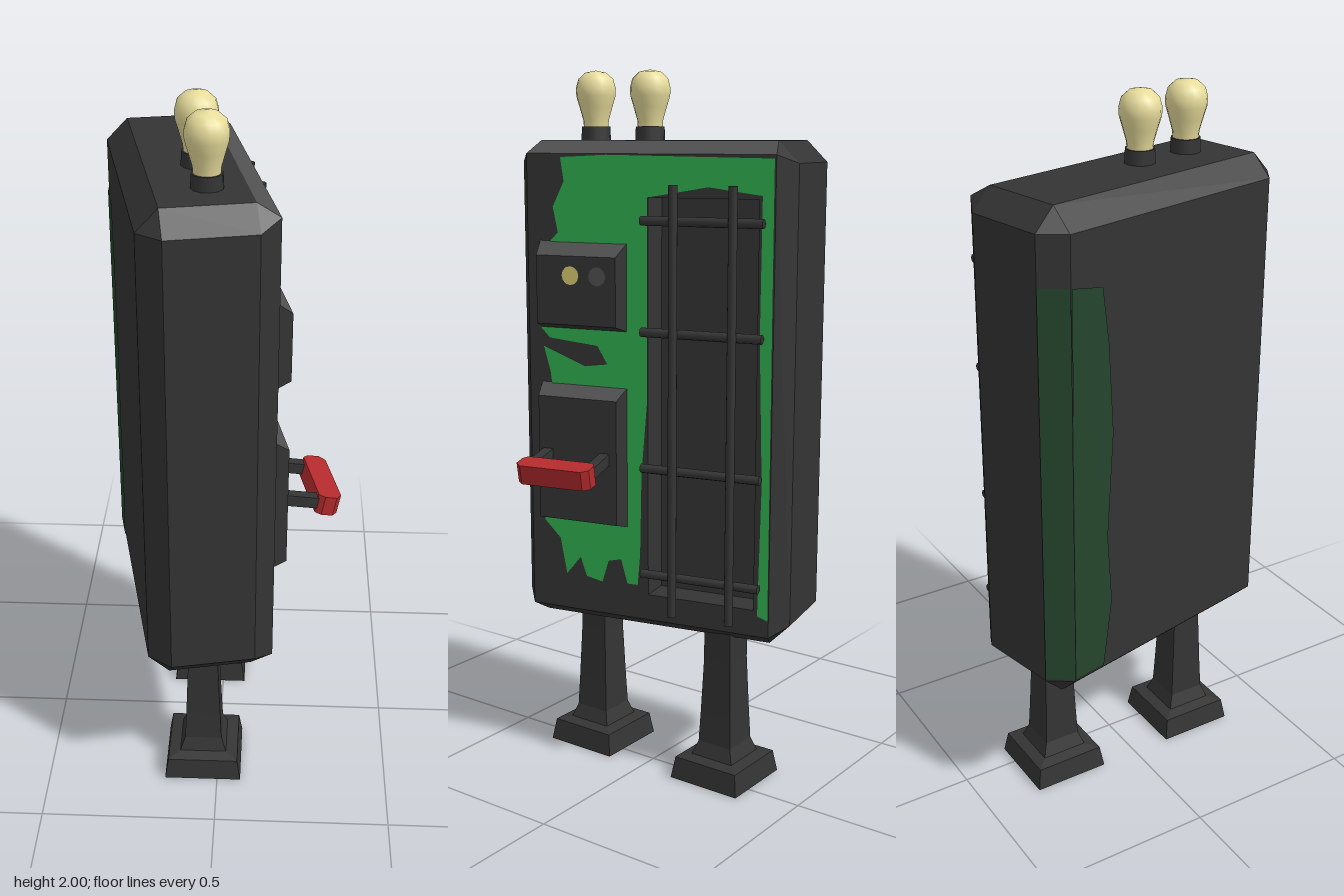
import * as THREE from 'three';
import { ConvexGeometry } from 'three/addons/geometries/ConvexGeometry.js';

const paint = (name, color) => {
  const m = new THREE.MeshStandardMaterial({ color });
  m.name = name;
  return m;
};

export function createModel() {
  const dark = paint('dark metal', 0x343434);
  const worn = paint('worn edge', 0x505050);
  const green = paint('green paint', 0x2fb04f);
  const oldGreen = paint('faded green', 0x24442c);
  const red = paint('red handle', 0xb52a2d);
  const glass = paint('bulb glass', 0xe8dd9c);
  const lamp = paint('yellow lamp', 0xd8cc70);

  const model = new THREE.Group();
  const cabinet = new THREE.Group();
  cabinet.name = 'cabinet';
  cabinet.rotation.y = 0.205;
  model.add(cabinet);

  const add = (parent, name, geo, mat, x = 0, y = 0, z = 0) => {
    const mesh = new THREE.Mesh(geo, mat);
    mesh.name = name;
    mesh.position.set(x, y, z);
    parent.add(mesh);
    return mesh;
  };

  // Convex solid split by a rule: rule(normal, centre) gives 0 dark, 1 worn, -1 left open
  const hull = (points, rule) => {
    const src = new ConvexGeometry(points).attributes.position;
    const tri = new THREE.Triangle(), n = new THREE.Vector3(), c = new THREE.Vector3();
    const lists = [[], []];
    for (let i = 0; i < src.count; i += 3) {
      tri.setFromAttributeAndIndices(src, i, i + 1, i + 2);
      tri.getNormal(n);
      tri.getMidpoint(c);
      const k = rule(n, c);
      if (k >= 0) [tri.a, tri.b, tri.c].forEach(p => lists[k].push(p.x, p.y, p.z));
    }
    const geo = new THREE.BufferGeometry();
    geo.setAttribute('position', new THREE.Float32BufferAttribute([...lists[0], ...lists[1]], 3));
    geo.computeVertexNormals();
    geo.addGroup(0, lists[0].length / 3, 0);
    geo.addGroup(lists[0].length / 3, lists[1].length / 3, 1);
    return geo;
  };

  // Flat plate on the panel side, from [z, y] points
  const panelShape = pts => new THREE.Shape(pts.map(([z, y]) => new THREE.Vector2(-z, y)));
  const plate = shape => new THREE.ShapeGeometry(shape).rotateY(Math.PI / 2);
  const rect = (z0, z1, y0, y1) => [[z0, y0], [z1, y0], [z1, y1], [z0, y1]];

  // Chamfered cabinet shell, open where the panel sits
  const X = [-0.262, 0.0875], Y = [0.435, 1.81], Z = [-0.429, 0.389];
  const b = 0.058, fy = 0.035, fz = 0.042;
  const pts = [];
  for (const i of [0, 1]) for (const j of [0, 1]) for (const k of [0, 1]) {
    const sx = i ? -1 : 1, sy = j ? -1 : 1, sz = k ? -1 : 1;
    pts.push(
      new THREE.Vector3(X[i], Y[j] + sy * (i ? fy : b), Z[k] + sz * (i ? fz : b)),
      new THREE.Vector3(X[i] + sx * b, Y[j], Z[k] + sz * b),
      new THREE.Vector3(X[i] + sx * b, Y[j] + sy * b, Z[k]));
  }
  const shell = hull(pts, n => (n.x > 0.99 ? -1 : n.x > 0.3 && n.y > 0.3 ? 1 : 0));
  add(cabinet, 'shell', shell, [dark, worn]);

  // Panel with a recessed window
  const win = { z0: -0.342, z1: -0.024, y0: 0.545, y1: 1.66, depth: 0.09 };
  const panel = panelShape(rect(Z[0] + fz, Z[1] - fz, Y[0] + fy, Y[1] - fy));
  panel.holes.push(new THREE.Path(rect(win.z0, win.z1, win.y0, win.y1).map(([z, y]) => new THREE.Vector2(-z, y))));
  add(cabinet, 'panel', plate(panel), dark, X[1]);

  const w = win.z1 - win.z0, h = win.y1 - win.y0;
  const zc = (win.z0 + win.z1) / 2, yc = (win.y0 + win.y1) / 2, d = win.depth;
  add(cabinet, 'windowBack', new THREE.PlaneGeometry(w, h).rotateY(Math.PI / 2), dark, X[1] - d, yc, zc);
  for (const s of [-1, 1]) {
    add(cabinet, 'windowSill', new THREE.PlaneGeometry(d, w).rotateX(s * Math.PI / 2), dark,
      X[1] - d / 2, yc + s * h / 2, zc);
    add(cabinet, 'windowJamb', new THREE.PlaneGeometry(d, h).rotateY(s > 0 ? Math.PI : 0), dark,
      X[1] - d / 2, yc, zc + s * w / 2);
  }

  // Peeling paint on the panel
  add(cabinet, 'panelPaint', plate(panelShape([
    [0.24, 1.765], [0.1, 1.772], [-0.383, 1.765], [-0.385, 0.52], [-0.355, 0.53], [-0.362, 0.9],
    [-0.35, 1.3], [-0.352, 1.67], [-0.2, 1.69], [-0.022, 1.66], [-0.022, 1.1], [-0.005, 0.9],
    [0, 0.66], [0.008, 0.57], [0.04, 0.57], [0.06, 0.64], [0.1, 0.63], [0.12, 0.565], [0.17, 0.575],
    [0.19, 0.63], [0.235, 0.575], [0.255, 0.68], [0.305, 0.73], [0.3, 0.78], [0.27, 1.1],
    [0.28, 1.17], [0.3, 1.24], [0.17, 1.19], [0.1, 1.2], [0.13, 1.25], [0.28, 1.265],
    [0.315, 1.3], [0.312, 1.5], [0.25, 1.56], [0.265, 1.63], [0.23, 1.7]
  ])), green, X[1] + 0.003);

  // Faded paint wrapping the rear corner
  const patch = new THREE.Shape([[-0.371, 0.5], [-0.371, 1.62], [-0.27, 1.6], [-0.25, 1.45], [-0.235, 1.2],
    [-0.255, 0.9], [-0.24, 0.7], [-0.27, 0.5]].map(([z, y]) => new THREE.Vector2(z, y)));
  add(cabinet, 'backPaint', new THREE.ShapeGeometry(patch).rotateY(-Math.PI / 2), oldGreen, X[0] - 0.003);
  add(cabinet, 'cornerPaint', new THREE.PlaneGeometry(b * Math.SQRT2, 1.12).rotateY(-Math.PI * 0.75), oldGreen,
    X[0] + b / 2 - 0.002, 1.06, Z[0] + b / 2 - 0.002);

  // Bevelled control boxes: base rectangle tapering to a smaller face
  const controlBox = (name, base, face) => {
    const p = [];
    for (const [r, x] of [[base, X[1] - 0.01], [face, 0.132]])
      for (const [z, y] of rect(...r)) p.push(new THREE.Vector3(x, y, z));
    add(cabinet, name, hull(p, n => (n.y > 0.3 ? 1 : 0)), [dark, worn]);
  };
  controlBox('lampBox', [0.035, 0.31, 1.29, 1.545], [0.053, 0.297, 1.31, 1.5]);
  controlBox('switchBox', [0.035, 0.31, 0.735, 1.145], [0.053, 0.297, 0.75, 1.105]);
  for (const [name, z, mat] of [['litLamp', 0.19, lamp], ['unlitLamp', 0.108, worn]])
    add(cabinet, name, new THREE.CircleGeometry(0.026, 12).rotateY(Math.PI / 2), mat, 0.135, 1.447, z);

  // Pull handle
  const grip = [];
  for (const s of [-1, 1]) for (const t of [-1, 1]) {
    grip.push(new THREE.Vector3(-0.032, t * 0.028, s * 0.1), new THREE.Vector3(-0.016, t * 0.028, s * 0.112),
      new THREE.Vector3(0.016, t * 0.028, s * 0.112), new THREE.Vector3(0.032, t * 0.028, s * 0.094));
  }
  add(cabinet, 'handleGrip', new ConvexGeometry(grip), red, 0.247, 0.914, 0.181).rotation.z = -0.2;
  for (const z of [0.09, 0.268])
    add(cabinet, 'handleArm', new THREE.BoxGeometry(0.13, 0.032, 0.03), dark, 0.172, 0.93, z).rotation.z = -0.2;

  // Window grille
  for (const z of [-0.284, -0.114])
    add(cabinet, 'grilleUpright', new THREE.CylinderGeometry(0.013, 0.013, 1.19, 8), dark, 0.126, 1.1, z);
  for (const y of [0.615, 0.92, 1.3, 1.6])
    add(cabinet, 'grilleBar', new THREE.CylinderGeometry(0.013, 0.013, 0.35, 8).rotateX(Math.PI / 2), dark,
      0.113, y, -0.19);

  // Bulbs in sockets
  const bulb = [[0.034, 1.84], [0.036, 1.865], [0.046, 1.9], [0.055, 1.93], [0.056, 1.952], [0.049, 1.977],
    [0.03, 1.994], [0, 2]].map(p => new THREE.Vector2(...p));
  for (const z of [0.042, 0.21]) {
    add(cabinet, 'bulbSocket', new THREE.CylinderGeometry(0.04, 0.042, 0.045, 12), dark, -0.07, 1.825, z);
    add(cabinet, 'bulb', new THREE.LatheGeometry(bulb, 16), glass, -0.07, 0, z);
  }

  // Square flared legs, set straight under the turned cabinet
  const leg = [[0, 0], [0.112, 0], [0.102, 0.063], [0.068, 0.07], [0.054, 0.11], [0.05, 0.2], [0.044, 0.36], [0.044, 0.46]]
    .map(([r, y]) => new THREE.Vector2(r * Math.SQRT2, y));
  const legGeo = new THREE.LatheGeometry(leg, 4).rotateY(Math.PI / 4).toNonIndexed();
  legGeo.computeVertexNormals();
  for (const z of [-0.225, 0.225]) add(model, 'leg', legGeo, dark, -0.043, 0, z);

  return model;
}
